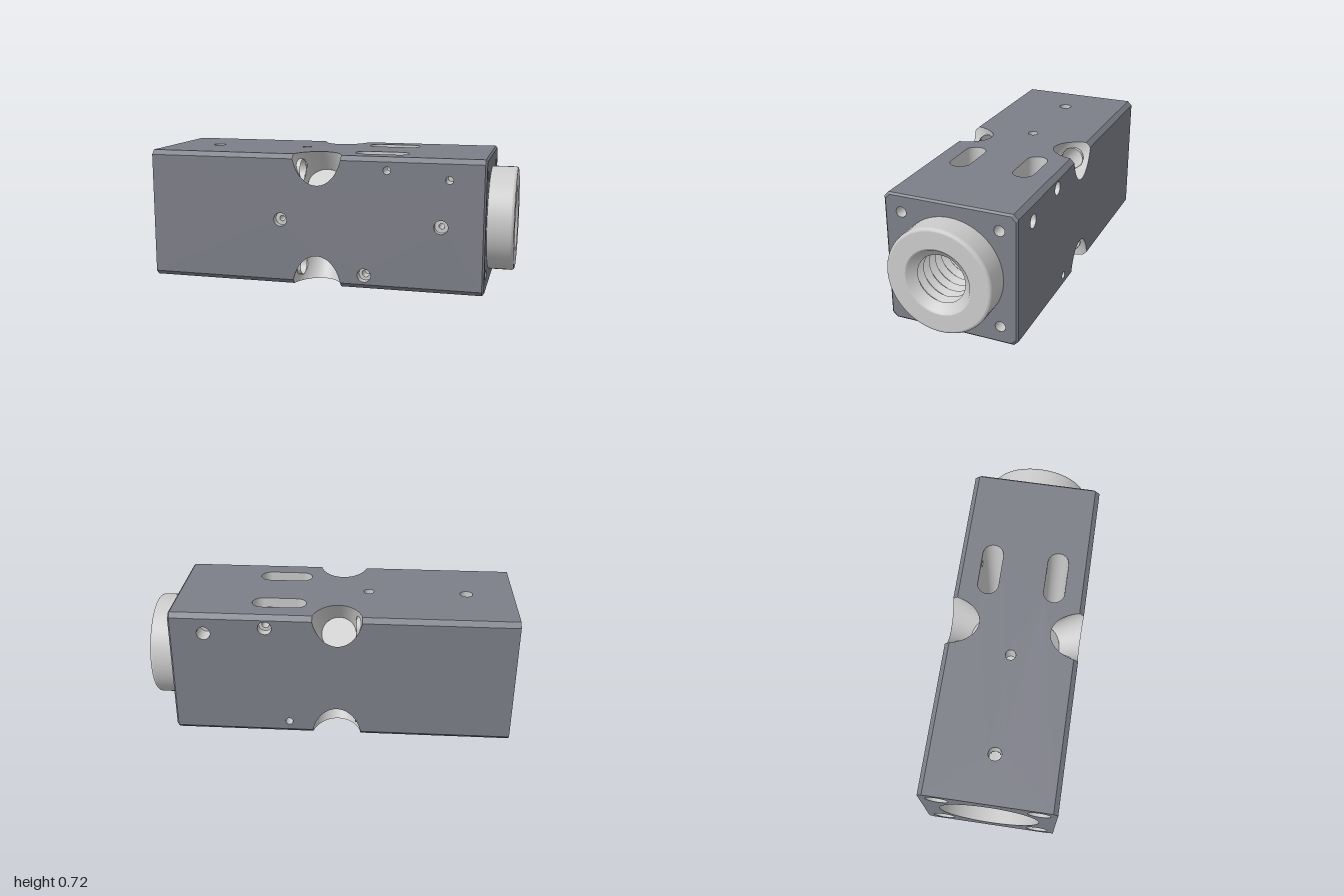
import * as THREE from 'three';

const PI = Math.PI;
const dark = new THREE.MeshStandardMaterial({ color: 0x7d7f88, side: THREE.DoubleSide });
const light = new THREE.MeshStandardMaterial({ color: 0xcccccc, side: THREE.DoubleSide });
const H = 0.36, C = 0.025;             // half section, edge chamfer
const X0 = -1, X1 = 0.86, BEV = 0.01;  // block ends, end bevel
const BORE = 0.27, BORE_END = -0.28, PASSAGE = 0.125;
const NX = -0.045, FLOOR = 0.26;       // edge notch position and floor distance
const SC = (2 * H - C) / Math.SQRT2;   // centre to chamfer distance
const TC = C / Math.SQRT2;             // half chamfer width
const SLOT = { x0: 0.19, x1: 0.37, v: 0.1825, r: 0.0575 };

function add(parent, name, geometry, material) {
  const m = new THREE.Mesh(geometry, material);
  m.name = name;
  parent.add(m);
  return m;
}

// Surface from a rule f(u, v) -> [x, y, z]; skip(point) leaves openings
function grid(f, nu, nv, skip = () => false) {
  const pos = [], idx = [];
  for (let i = 0; i <= nu; i++)
    for (let j = 0; j <= nv; j++) pos.push(...f(i / nu, j / nv));
  for (let i = 0; i < nu; i++)
    for (let j = 0; j < nv; j++) {
      if (skip(f((i + 0.5) / nu, (j + 0.5) / nv))) continue;
      const a = i * (nv + 1) + j, b = a + nv + 1;
      idx.push(a, b, a + 1, b, b + 1, a + 1);
    }
  const g = new THREE.BufferGeometry();
  g.setAttribute('position', new THREE.Float32BufferAttribute(pos, 3));
  g.setIndex(idx);
  g.computeVertexNormals();
  return g;
}

const circle = (x, y, r) => new THREE.Path().absarc(x, y, r, 0, 2 * PI, true);

// Open tube along y between y0 and y1
function tube(r, y0, y1, start = 0, sweep = 2 * PI) {
  return new THREE.CylinderGeometry(r, r, y1 - y0, 32, 1, true, start, sweep).translate(0, (y0 + y1) / 2, 0);
}

// Profile [x, radius] turned around the x axis
function turned(points) {
  return new THREE.LatheGeometry(points.map(([x, r]) => new THREE.Vector2(r, x)), 64).rotateZ(-PI / 2);
}

// Tapered notch: radius shrinks towards its floor
const notchRadius = s => 0.134 - 0.17 * (SC - s);
function notchRim(a) {
  const sn = Math.abs(Math.sin(a));
  const r = 0.134 * sn < TC ? 0.134 : (0.134 + 0.17 * TC) / (1 + 0.17 * sn);
  return { r, s: Math.min(SC, H * Math.SQRT2 - r * sn) };
}

function slotPath(v) {
  const { x0, x1, r } = SLOT;
  return new THREE.Path().absarc(x1, v, r, PI / 2, -PI / 2, true).absarc(x0, v, r, -PI / 2, -1.5 * PI, true);
}

// One long face, built facing +y; shape y runs along -z
function sideFace(name, holes, slots) {
  const g = new THREE.Group();
  g.name = name;
  const e = H - C, s = new THREE.Shape(), rim = [];
  const a0 = Math.asin(TC / 0.134);
  for (let i = 0; i <= 32; i++) {
    const a = a0 + (PI - 2 * a0) * i / 32, { r } = notchRim(a);
    rim.push([NX + r * Math.cos(a), Math.min(e, H - Math.SQRT2 * r * Math.sin(a))]);
  }
  s.moveTo(X0, -e);
  [...rim].reverse().forEach(([x, v]) => s.lineTo(x, -v));
  s.lineTo(X1 - BEV, -e).lineTo(X1 - BEV, e);
  rim.forEach(([x, v]) => s.lineTo(x, v));
  s.lineTo(X0, e);
  holes.forEach(h => s.holes.push(circle(h.x, h.v, h.r)));
  if (slots) [-1, 1].forEach(k => s.holes.push(slotPath(k * SLOT.v)));
  add(g, 'facePlate', new THREE.ShapeGeometry(s, 24).rotateX(-PI / 2).translate(0, H, 0), dark);
  // drilled holes: plain, blind or stepped
  for (const h of holes) {
    add(g, 'holeWall', tube(h.r, H - h.depth, H).translate(h.x, 0, -h.v), light);
    if (h.open) continue;
    add(g, 'holeFloor', new THREE.RingGeometry(h.step || 0, h.r, 32).rotateX(-PI / 2)
      .translate(h.x, H - h.depth, -h.v), light);
    if (h.step) add(g, 'holeStep', tube(h.step, h.end ?? 0.24, H - h.depth).translate(h.x, 0, -h.v), light);
  }
  return g;
}

// One long edge with the diagonal along +y: chamfer and notch
function edge() {
  const g = new THREE.Group();
  g.name = 'notchedEdge';
  for (const [a, b] of [[X0, NX - 0.133], [NX + 0.133, X1 - BEV]])
    add(g, 'edgeChamfer', new THREE.PlaneGeometry(b - a, 2 * TC).rotateX(-PI / 2).translate((a + b) / 2, SC, 0), dark);
  const wall = (u, v) => {
    const a = u * 2 * PI, s = FLOOR + (notchRim(a).s - FLOOR) * v, r = notchRadius(s);
    return [NX + r * Math.cos(a), s, r * Math.sin(a)];
  };
  const axis = 0.265 * Math.SQRT2;
  add(g, 'notchWall', grid(wall, 128, 32, p => p[0] < NX && Math.hypot(p[1] - axis, p[2]) < 0.06), light);
  add(g, 'notchFloor', new THREE.CircleGeometry(notchRadius(FLOOR), 48).rotateX(-PI / 2).translate(NX, FLOOR, 0), light);
  // lengthwise corner holes at both ends
  add(g, 'rearCornerHole', tube(0.06, X0, NX - 0.1).rotateZ(-PI / 2).translate(0, axis, 0), light);
  add(g, 'endScrewHole', tube(0.028, X1 - 0.12, X1).rotateZ(-PI / 2).translate(0, axis, 0), light);
  add(g, 'endScrewHoleFloor', new THREE.CircleGeometry(0.028, 24).rotateY(PI / 2).translate(X1 - 0.12, axis, 0), light);
  return g;
}

const octagon = h => [[h, h - C], [h - C, h], [C - h, h], [-h, h - C], [-h, C - h], [C - h, -h], [h - C, -h], [h, C - h]];

function endFace(name, x, half, bore, hole) {
  const s = new THREE.Shape(octagon(half).map(p => new THREE.Vector2(...p)));
  s.holes.push(circle(0, 0, bore));
  for (const a of [-0.265, 0.265]) for (const b of [-0.265, 0.265]) s.holes.push(circle(a, b, hole));
  const g = new THREE.ShapeGeometry(s, 32).rotateY(x > 0 ? PI / 2 : -PI / 2).translate(x, 0, 0);
  return [name, g, dark];
}

export function createModel() {
  const root = new THREE.Group();
  root.name = 'machinedBlock';
  const body = new THREE.Group();
  body.name = 'body';
  body.position.y = H;
  root.add(body);

  // four long faces
  const vertical = [{ x: -0.74, v: 0, r: 0.035, depth: H - BORE + 0.002, open: true }, { x: -0.2, v: 0, r: 0.028, depth: 0.1 }];
  const sides = [
    sideFace('topFace', vertical, true),
    sideFace('frontFace', [
      { x: -0.25, v: 0, r: 0.037, depth: 0.04, step: 0.015, end: PASSAGE },
      { x: 0.63, v: 0, r: 0.037, depth: 0.04, step: 0.015, end: 0.165 },
      { x: 0.34, v: 0.29, r: 0.02, depth: 0.12, open: true },
      { x: 0.22, v: -0.285, r: 0.037, depth: 0.05, step: 0.02 },
      { x: 0.67, v: 0.25, r: 0.02, depth: 0.1 }], false),
    sideFace('bottomFace', vertical, true),
    sideFace('backFace', [
      { x: 0.34, v: -0.29, r: 0.037, depth: 0.05, step: 0.02 },
      { x: 0.22, v: 0.285, r: 0.02, depth: 0.12, open: true },
      { x: 0.67, v: -0.25, r: 0.037, depth: 0.1 }], false),
  ];
  sides.forEach((f, k) => {
    f.rotation.x = k * PI / 2;
    const e = edge();
    e.rotation.x = k * PI / 2 + PI / 4;
    body.add(f, e);
  });

  // block ends and bevel
  add(body, ...endFace('rearEnd', X0, H, BORE, 0.06));
  add(body, ...endFace('collarEnd', X1, H - BEV, 0.2, 0.028));
  const outer = octagon(H), inner = octagon(H - BEV);
  for (let i = 0; i < 8; i++) {
    const j = (i + 1) % 8;
    add(body, 'endBevel', grid((u, v) => {
      const o = v ? inner : outer, [z, y] = o[u ? j : i];
      return [v ? X1 : X1 - BEV, y, z];
    }, 1, 1), dark);
  }

  // through slots: flat walls pierced by the cross holes, rounded ends
  const cross = [[0.34, 0.29], [0.22, -0.285]];
  for (const k of [-1, 1]) {
    for (const d of [-SLOT.r, SLOT.r]) {
      const s = new THREE.Shape([[SLOT.x0, -H], [SLOT.x1, -H], [SLOT.x1, H], [SLOT.x0, H]].map(p => new THREE.Vector2(...p)));
      cross.forEach(([x, y]) => s.holes.push(circle(x, y, 0.02)));
      add(body, 'slotWall', new THREE.ShapeGeometry(s, 16).translate(0, 0, k * SLOT.v + d), light);
    }
    add(body, 'slotEnd', tube(SLOT.r, -H, H, 0, PI).translate(SLOT.x1, 0, k * SLOT.v), light);
    add(body, 'slotEnd', tube(SLOT.r, -H, H, PI, PI).translate(SLOT.x0, 0, k * SLOT.v), light);
  }
  for (const [x, y] of cross)
    add(body, 'crossHole', tube(0.02, -0.125, 0.125).rotateX(PI / 2).translate(x, y, 0), light);

  // large rear bore, opened where the vertical hole meets it
  add(body, 'rearBore', grid((u, v) => {
    const a = u * 2 * PI;
    return [X0 + (BORE_END - X0) * v, BORE * Math.cos(a), BORE * Math.sin(a)];
  }, 160, 80, p => Math.hypot(p[0] + 0.74, p[2]) < 0.035), light);
  add(body, 'boreShoulder', new THREE.RingGeometry(PASSAGE, BORE, 64).rotateY(-PI / 2).translate(BORE_END, 0, 0), light);

  // threaded passage
  add(body, 'passage', turned([[BORE_END, PASSAGE], [0.48, PASSAGE]]), light);
  for (let x = 0.48; x < 0.95; x += 0.06) {
    add(body, 'threadFlank', turned([[x, 0.13], [x + 0.02, 0.162]]), light);
    add(body, 'threadRoot', turned([[x + 0.02, 0.162], [x + 0.04, 0.162]]), light);
    add(body, 'threadFlank', turned([[x + 0.04, 0.162], [x + 0.06, 0.13]]), light);
  }

  // collar with softened rims
  add(body, 'collarWall', turned([[X1, 0.285], [0.985, 0.285]]), light);
  add(body, 'collarRim', turned([[0.985, 0.285], [0.992, 0.283], [0.998, 0.278], [1, 0.27]]), light);
  add(body, 'collarFace', turned([[1, 0.27], [1, 0.18]]), light);
  add(body, 'collarMouth', turned([[1, 0.18], [0.995, 0.17], [0.985, 0.164], [0.96, 0.13]]), light);
  return root;
}
